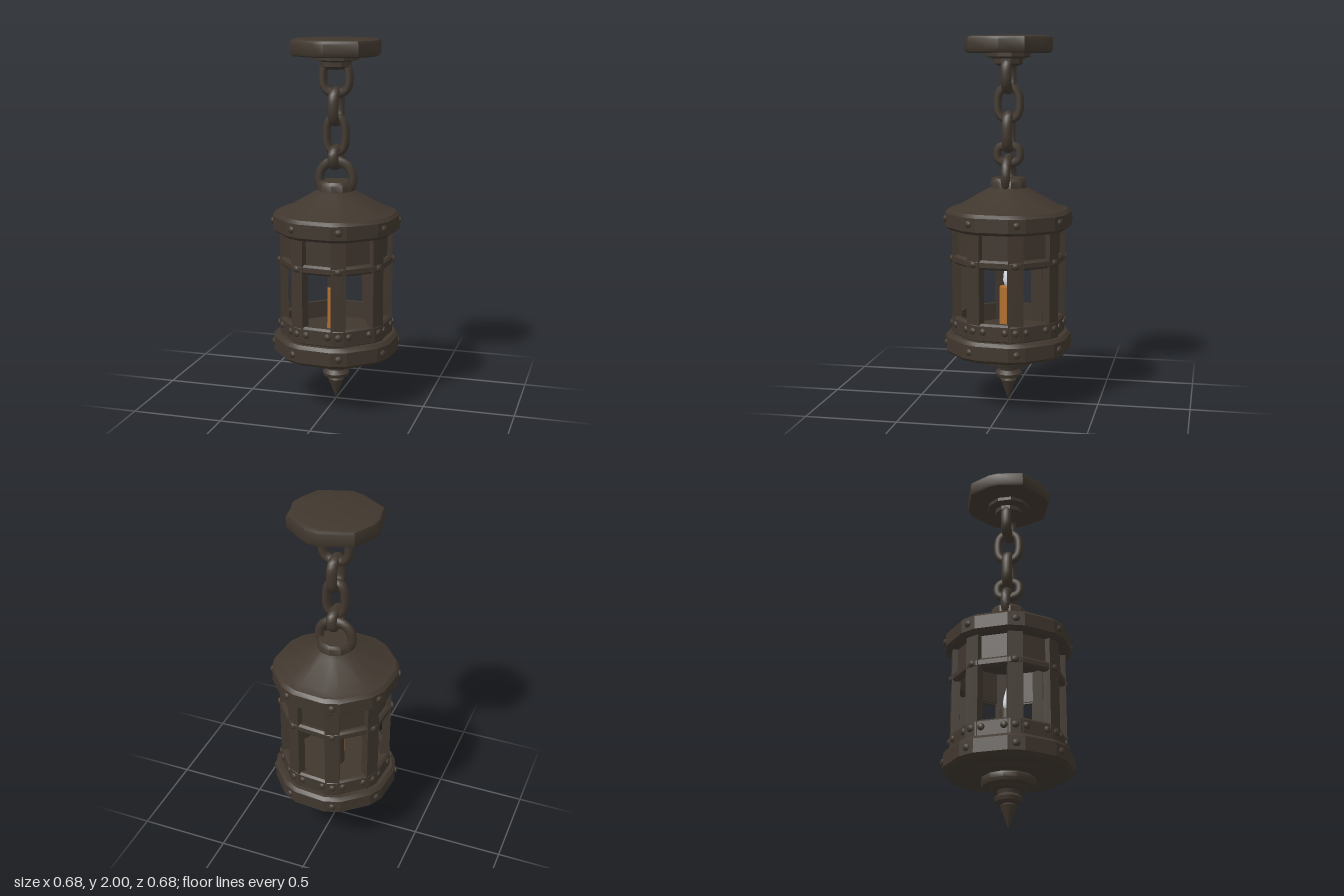
import * as THREE from 'three';
import { toCreasedNormals } from 'three/addons/utils/BufferGeometryUtils.js';

const rad = THREE.MathUtils.degToRad;
const TURN = 18; // the first lantern corner, in degrees from +z towards +x

const iron = new THREE.MeshStandardMaterial({ color: 0x40372e });
iron.name = 'dark iron';
const wax = new THREE.MeshStandardMaterial({ color: 0xb06f30 });
wax.name = 'orange wax';
const glow = new THREE.MeshStandardMaterial({ color: 0xdfe3e8 });
glow.name = 'pale flame';

const vec = (pts) => pts.map(([r, y]) => new THREE.Vector2(r, y));

function add(parent, name, geometry, material = iron) {
  const mesh = new THREE.Mesh(geometry, material);
  mesh.name = name;
  parent.add(mesh);
  return mesh;
}

// Octagonal lathe whose corners are cut off by a small chamfer (degrees)
function octagon(profile, chamfer) {
  const geo = new THREE.LatheGeometry(vec(profile), 16);
  const pos = geo.attributes.position;
  const n = profile.length;
  for (let i = 0; i <= 16; i++) {
    const a = rad(TURN + 45 * Math.floor(i / 2) + (i % 2 ? chamfer : -chamfer));
    profile.forEach(([r, y], j) => pos.setXYZ(i * n + j, r * Math.sin(a), y, r * Math.cos(a)));
  }
  return toCreasedNormals(geo, 0.3);
}

// Closed ring band with rounded outer edges
const band = (inner, outer, y0, y1) => octagon([
  [inner, y0], [outer - 0.012, y0], [outer, y0 + 0.012],
  [outer, y1 - 0.012], [outer - 0.012, y1], [inner, y1], [inner, y0],
], 5);

const turned = (profile, sides) =>
  toCreasedNormals(new THREE.LatheGeometry(vec(profile), sides), 0.6);

// Rounded oblong chain link lying in the xy plane
function linkGeometry(y0, y1, halfWidth, r) {
  const w = halfWidth - r, h = (y1 - y0) / 2 - r;
  const pts = [];
  for (let i = 0; i < 16; i++) {
    const a = (i / 16) * Math.PI * 2;
    const c = Math.cos(a), s = Math.sin(a);
    pts.push(new THREE.Vector3(
      w * Math.sign(c) * Math.abs(c) ** 0.75, h * Math.sign(s) * Math.abs(s) ** 0.75, 0));
  }
  const curve = new THREE.CatmullRomCurve3(pts, true);
  return new THREE.TubeGeometry(curve, 32, r, 8, true).scale(1, 1, 1.25);
}

function createModel() {
  const model = new THREE.Group();
  model.name = 'hangingLantern';

  // Ceiling plate with a hammered, uneven outline
  const outline = [
    [0, -0.24], [0.06, -0.235], [0.13, -0.19], [0.215, -0.125], [0.22, -0.07], [0.24, 0.01],
    [0.22, 0.085], [0.17, 0.185], [0, 0.24], [-0.07, 0.22], [-0.215, 0.125],
    [-0.24, -0.01], [-0.23, -0.07], [-0.17, -0.185],
  ];
  const plate = new THREE.ExtrudeGeometry(new THREE.Shape(vec(outline)), {
    depth: 0.05, bevelThickness: 0.02, bevelSize: 0.018, bevelOffset: -0.018, bevelSegments: 2,
  });
  plate.rotateX(Math.PI / 2);
  add(model, 'ceilingPlate', toCreasedNormals(plate, 0.6)).position.y = 1.98;
  add(model, 'ceilingBoss', turned([
    [0, 1.835], [0.05, 1.84], [0.08, 1.855], [0.08, 1.88], [0.12, 1.89], [0.12, 1.915],
  ], 10));

  // Chain: links alternate between the two planes
  const chain = new THREE.Group();
  chain.name = 'chain';
  model.add(chain);
  [[1.69, 1.9, 0.097], [1.535, 1.75, 0.085], [1.375, 1.605, 0.077], [1.3, 1.44, 0.087]]
    .forEach(([y0, y1, w], i) => {
      const link = add(chain, 'chainLink', linkGeometry(y0, y1, w, 0.024));
      link.position.y = (y0 + y1) / 2;
      link.rotation.y = (i % 2) * Math.PI / 2;
    });
  add(model, 'hangingRing', new THREE.TorusGeometry(0.094, 0.026, 8, 24)).position.y = 1.255;

  // Roof and its cap
  add(model, 'roof', octagon([
    [0, 0.968], [0.325, 0.968], [0.345, 0.985], [0.345, 1.058], [0.328, 1.076],
    [0.28, 1.09], [0.125, 1.178], [0.1, 1.19], [0, 1.19],
  ], 7.5));
  add(model, 'roofCap', turned([
    [0.1, 1.17], [0.1, 1.225], [0.088, 1.242], [0, 1.242],
  ], 10));

  // Base tray
  add(model, 'base', octagon([
    [0, 0.265], [0.2, 0.265], [0.23, 0.283], [0.325, 0.285], [0.345, 0.303],
    [0.345, 0.378], [0.328, 0.396], [0, 0.4],
  ], 7.5));

  // Pointed finial below the base
  add(model, 'finial', turned([
    [0, 0], [0.045, 0.118], [0.03, 0.13], [0.07, 0.138], [0.076, 0.158], [0.055, 0.178],
    [0.06, 0.198], [0.09, 0.203], [0.1, 0.215], [0.138, 0.218], [0.145, 0.235],
    [0.145, 0.255], [0.138, 0.27],
  ], 12));

  // Cage bands and the solid upper wall
  add(model, 'lowerBand', band(0.275, 0.311, 0.39, 0.492));
  add(model, 'middleBand', band(0.275, 0.311, 0.782, 0.832));
  add(model, 'upperWall', octagon([
    [0.27, 0.79], [0.288, 0.79], [0.288, 0.972], [0.27, 0.972], [0.27, 0.79],
  ], 3));

  // Corner bars with rivets, repeated around the cage
  const barGeo = new THREE.BoxGeometry(0.08, 0.6, 0.045);
  const rivetGeo = new THREE.SphereGeometry(0.02, 8, 6).scale(1, 1, 0.65);
  const rivet = (parent, x, y, z) =>
    add(parent, 'rivet', rivetGeo).position.set(x, y, z);
  for (let i = 0; i < 8; i++) {
    const corner = new THREE.Group();
    corner.name = 'cageCorner';
    corner.rotation.y = rad(TURN + 45 * i);
    model.add(corner);
    add(corner, 'cornerBar', barGeo).position.set(0, 0.68, 0.284);
    rivet(corner, 0, 0.807, 0.311);
    rivet(corner, 0, 0.45, 0.311);
    rivet(corner, 0, 1.025, 0.345);
    rivet(corner, 0, 0.34, 0.343);

    const side = new THREE.Group();
    side.name = 'cageSide';
    side.rotation.y = rad(TURN + 22.5 + 45 * i);
    model.add(side);
    for (const s of [-1, 1]) rivet(side, s * 0.06, 0.45, 0.296);
  }

  // Candle: waxy front, soot-dark on the back left
  const candle = new THREE.Group();
  candle.name = 'candle';
  model.add(candle);
  const candlePart = (name, start, arc, material) =>
    add(candle, name, new THREE.CylinderGeometry(0.048, 0.05, 0.245, 14, 1, false,
      rad(start), rad(arc)), material).position.y = 0.52;
  candlePart('candleWax', -80, 250, wax);
  candlePart('candleSoot', 170, 110, iron);
  add(candle, 'flame', new THREE.LatheGeometry(vec([
    [0, 0.64], [0.02, 0.645], [0.03, 0.675], [0.028, 0.71], [0.018, 0.75], [0.011, 0.775], [0, 0.79],
  ]), 12), glow);

  return model;
}

export { createModel };
